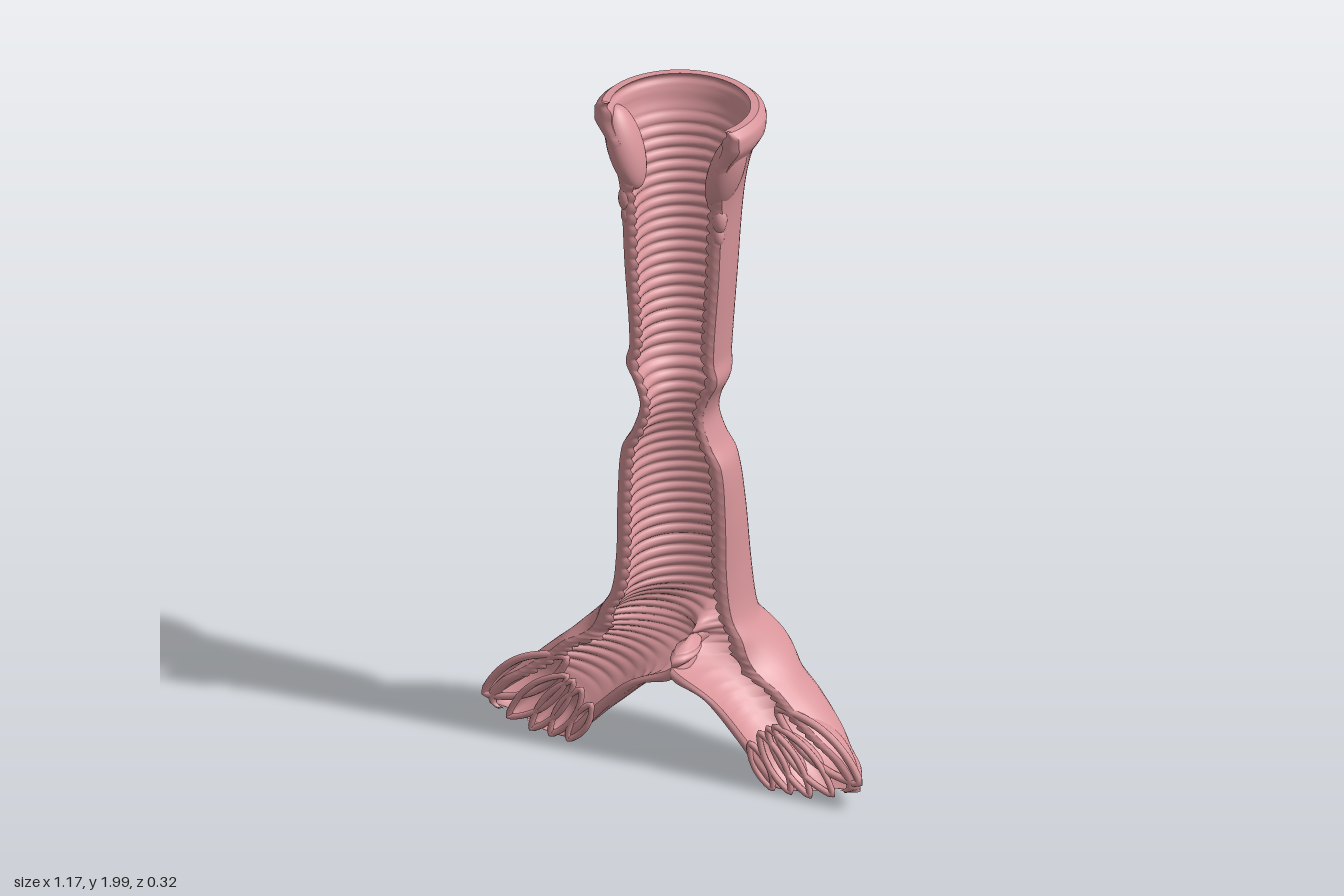
import * as THREE from 'three';

// Trunk profile: height, half width, back z
const TRUNK = [
  [1.997, .215, -.14], [1.977, .236, -.16], [1.94, .236, -.157], [1.88, .202, -.125],
  [1.75, .172, -.106], [1.5, .155, -.085], [1.26, .14, -.068], [1.2, .146, -.06],
  [1.14, .12, -.037], [1.08, .108, -.03], [1, .13, -.052], [.94, .16, -.08],
  [.8, .175, -.106], [.6, .185, -.13], [.48, .202, -.142],
];
// Fork and branch: distance, inner end x y, outer edge x y, back z
const BRANCH = [
  [1.6, 0, .4, .24, .42, -.145], [1.68, 0, .33, .29, .365, -.138],
  [1.77, 0, .265, .345, .31, -.122], [1.88, .1, .225, .405, .255, -.1],
  [2, .2, .13, .475, .19, -.07], [2.1, .27, .05, .53, .14, -.03],
  [2.18, .32, .012, .565, .095, 0], [2.25, .44, .03, .572, .05, .09],
];
const ROWS = TRUNK.map(([y, w, back]) => [1.997 - y, 0, y, w, y, back]).concat(BRANCH);
const CROTCH = 1.77, END = 2.25;
const { clamp, smoothstep } = THREE.MathUtils;

// Smooth interpolation between the stations
function station(s) {
  let i = 0;
  while (i < ROWS.length - 2 && s > ROWS[i + 1][0]) i++;
  const a = ROWS[i], b = ROWS[i + 1], p = ROWS[Math.max(i - 1, 0)], n = ROWS[Math.min(i + 2, ROWS.length - 1)];
  const h = b[0] - a[0], t = Math.min(1, (s - a[0]) / h), t2 = t * t, t3 = t2 * t;
  return a.map((v, k) => {
    if (v === b[k]) return v;
    const ma = h * (b[k] - p[k]) / (b[0] - p[0]), mb = h * (n[k] - v) / (n[0] - a[0]);
    return v * (2 * t3 - 3 * t2 + 1) + ma * (t3 - 2 * t2 + t) + b[k] * (3 * t2 - 2 * t3) + mb * (t3 - t2);
  });
}

// One point of the wall: s along the airway, v around the arc, outer or inner face
function wallPoint(s, v, inner) {
  let [, px, py, qx, qy, back] = station(s);
  // the quarter arc of the trunk opens into the half arc of the branch
  const phi = smoothstep(s, 1.54, CROTCH);
  const front = .152 - .027 * smoothstep(s, .12, .3);
  const length = Math.hypot(qx - px, qy - py);
  const radius = length / (1 - Math.cos(Math.PI / 2 * (1 + phi)));
  const zc = Math.min(back + radius, front - .02);
  let depth = zc - back;
  if (inner) {
    const lip = (.6 + .4 * smoothstep(s, 0, .03)) * (1 + .4 * Math.exp(-(((s - .05) / .035) ** 2)));
    const wall = Math.min(.036, .22 * radius) * lip;
    // cartilage rings
    const fade = smoothstep(s, .06, .16) * (1 - smoothstep(s, 1.95, 2.1));
    const w = wall + fade * .011 * (Math.pow(Math.abs(Math.sin(Math.PI * s / .034)), .7) - .5);
    const dx = (qx - px) / length, dy = (qy - py) / length;
    const branch = clamp((s - CROTCH) / .1, 0, 1);
    px += wall * phi * dx * branch;
    py += wall * phi * (1 - branch + dy * branch);
    qx -= w * dx;
    qy -= w * dy;
    depth = Math.max(depth - w, .006);
  }
  const curl = Math.asin(clamp((front - zc) / depth, -.8, .8));
  const end = Math.PI / 2 + phi * (Math.PI / 2 + curl);
  const k = 1 / (1 - Math.cos(end)), a = -curl + (end + curl) * v, c = k * (Math.cos(a) - 1);
  return [qx + (qx - px) * c, qy + (qy - py) * c, zc - depth * Math.sin(a)];
}

// Surface over a u, v grid; side mirrors it in x
function grid(nu, nv, fn, side, flip, seam) {
  const pos = [], idx = [];
  for (let i = 0; i <= nu; i++) for (let j = 0; j <= nv; j++) {
    const p = fn(i / nu, j / nv);
    pos.push(p[0] * side, p[1], p[2]);
  }
  for (let i = 0; i < nu; i++) for (let j = 0; j < nv; j++) {
    const a = i * (nv + 1) + j, b = a + nv + 1;
    if ((side < 0) !== flip) idx.push(a, a + 1, b, b, a + 1, b + 1);
    else idx.push(a, b, a + 1, b, b + 1, a + 1);
  }
  const g = new THREE.BufferGeometry();
  g.setAttribute('position', new THREE.Float32BufferAttribute(pos, 3));
  g.setIndex(idx);
  g.computeVertexNormals();
  // keep shading continuous where the two halves meet
  if (seam) {
    const n = g.attributes.normal, q = g.attributes.position, v = new THREE.Vector3();
    for (let i = 0; i < n.count; i++) if (Math.abs(q.getX(i)) < 1e-4) {
      v.fromBufferAttribute(n, i).setX(0).normalize();
      n.setXYZ(i, v.x, v.y, v.z);
    }
  }
  return g;
}

export function createModel() {
  const group = new THREE.Group();
  const material = new THREE.MeshStandardMaterial({ color: 0xd8959a, side: THREE.DoubleSide });
  const add = (name, geometry) => {
    const mesh = new THREE.Mesh(geometry, material);
    mesh.name = name;
    group.add(mesh);
    return mesh;
  };

  // strip from the outer to the inner face, slightly rounded
  const across = (s, v, t, bulge) => {
    const a = wallPoint(s, v, false), b = wallPoint(s, v, true);
    const p = a.map((x, i) => x + (b[i] - x) * t);
    p[2] += bulge * Math.sin(Math.PI * t);
    return p;
  };

  for (const side of [1, -1]) {
    const label = side > 0 ? 'left' : 'right';
    // outer wall and ringed lining
    add(label + 'OuterWall', grid(150, 20, (u, v) => wallPoint(u * END, v, false), side, false, true));
    add(label + 'RingedLining', grid(460, 18, (u, v) => wallPoint(u * END, v, true), side, true, true));

    // cut faces, top lip and branch end
    add(label + 'CutEdge', grid(460, 4, (u, t) => across(u * END, 0, t, .008), side, true, false));
    add(label + 'CrotchEdge', grid(100, 4, (u, t) =>
      across(CROTCH + u * (END - CROTCH), 1, t, .008), side, false, false));
    add(label + 'TopLip', grid(24, 1, (u, t) => across(0, u, t, 0), side, false, false));
    add(label + 'BranchEnd', grid(24, 1, (u, t) => across(END, u, t, 0), side, true, false));

    // swollen lobe beside the top opening, with small nodules below it
    const lobe = add(label + 'TopLobe', new THREE.SphereGeometry(1, 28, 20));
    lobe.scale.set(.046, .125, .06);
    lobe.position.set(side * .155, 1.845, .1);
    lobe.rotation.z = -side * .3;
    for (let i = 0; i < 3; i++) {
      const nodule = add(label + 'Nodule', new THREE.SphereGeometry(.03 - .007 * i, 14, 10));
      nodule.scale.set(.7, 1.3, .7);
      nodule.position.set(side * (.145 - .003 * i), 1.7 - .05 * i, .118);
    }

    // open cups of the small airways: start x y, tip x y, half width, depth
    const cups = [
      [.325, .25, .578, .085, .05, .085],
      [.32, .2, .5, .035, .034, .06],
      [.3, .19, .43, .015, .028, .055],
      [.275, .17, .37, .012, .026, .05],
      [.245, .13, .315, .01, .022, .045],
    ];
    cups.forEach(([ax, ay, bx, by, w, d], i) => {
      const l = Math.hypot(bx - ax, by - ay), nx = -(by - ay) / l, ny = (bx - ax) / l;
      const z = i ? .13 : .122;
      const at = (u, a) => {
        const f = Math.pow(Math.max(0, Math.sin(Math.PI * u)), .75);
        const o = w * f * Math.cos(a);
        return [ax + (bx - ax) * u + nx * o, ay + (by - ay) * u + ny * o, z - d * f * Math.sin(a)];
      };
      add(label + 'AirwayCup', grid(20, 12, (u, v) => at(u, Math.PI * v), side, true, false));
      const outline = [];
      for (let k = 0; k < 20; k++) {
        const [x, y, rimZ] = k <= 10 ? at(k / 10, 0) : at((20 - k) / 10, Math.PI);
        outline.push(new THREE.Vector3(x * side, y, rimZ));
      }
      add(label + 'CupRim', new THREE.TubeGeometry(
        new THREE.CatmullRomCurve3(outline, true), 48, i ? .009 : .011, 8, true));
    });
  }
  return group;
}
